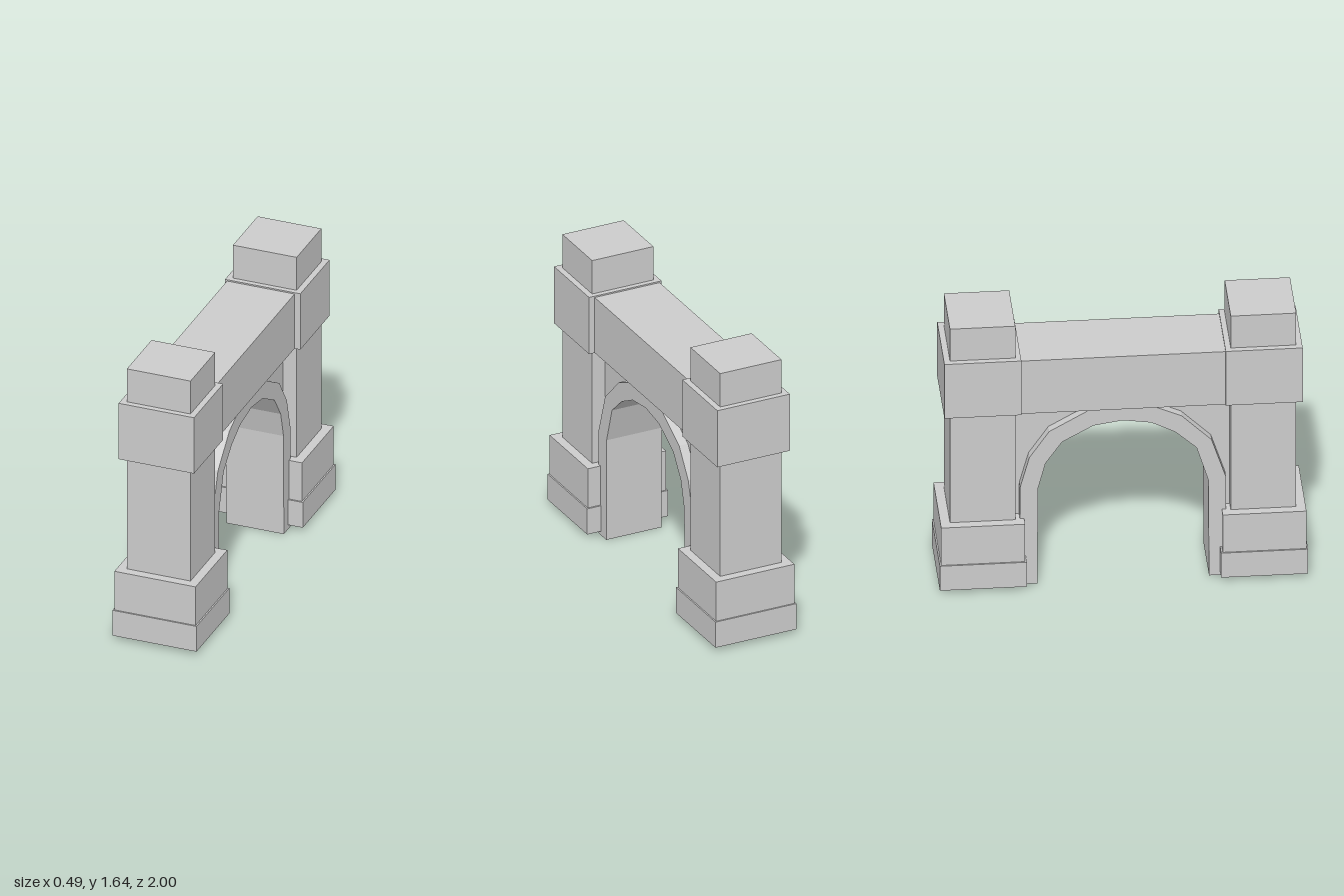
import * as THREE from 'three';

const stone = new THREE.MeshStandardMaterial({ color: 0xcccccc, flatShading: true });

// Box given by its limits on each axis
function block(name, [x0, x1], [y0, y1], [z0, z1]) {
  const mesh = new THREE.Mesh(new THREE.BoxGeometry(x1 - x0, y1 - y0, z1 - z0), stone);
  mesh.position.set((x0 + x1) / 2, (y0 + y1) / 2, (z0 + z1) / 2);
  mesh.name = name;
  return mesh;
}

// Slab with a [z, y] outline, running from x0 to x1
function slab(name, outline, x0, x1) {
  const shape = new THREE.Shape(outline.map(([z, y]) => new THREE.Vector2(-z, y)));
  const geometry = new THREE.ExtrudeGeometry(shape, { depth: x1 - x0, bevelEnabled: false });
  geometry.rotateY(Math.PI / 2).translate(x0, 0, 0);
  const mesh = new THREE.Mesh(geometry, stone);
  mesh.name = name;
  return mesh;
}

// One tower: stepped base, shaft and collar
function tower(name, side) {
  const group = new THREE.Group();
  group.name = name;
  const parts = [
    ['plinth', [-0.248, 0.243], [0.025, 0.18], [0.528, 1.0]],
    ['upperBase', [-0.24, 0.235], [0.18, 0.417], [0.537, 0.992]],
    ['shaft', [-0.188, 0.184], [0.417, 1.645], [0.585, 0.94]],
    ['collar', [-0.222, 0.218], [1.1, 1.443], [0.555, 0.973]],
  ];
  for (const [part, x, y, [near, far]] of parts) {
    group.add(block(part, x, y, side > 0 ? [near, far] : [-far, -near]));
  }
  return group;
}

export function createModel() {
  const model = new THREE.Group();
  model.name = 'gateway';
  model.add(tower('frontTower', 1), tower('backTower', -1));

  // Beam joining the two collars
  model.add(block('beam', [-0.21, 0.184], [1.1, 1.435], [-0.6, 0.6]));

  // Faceted arch ring, slightly uneven like hewn stone
  const outer = [
    [0.563, 0], [0.56, 0.62], [0.482, 0.86], [0.32, 1.02], [0.185, 1.08], [0.04, 1.105],
    [-0.04, 1.105], [-0.19, 1.08], [-0.4, 0.96], [-0.508, 0.8], [-0.558, 0.615], [-0.563, 0],
  ];
  const inner = [
    [0.468, 0], [0.464, 0.605], [0.4, 0.815], [0.285, 0.92], [0.155, 0.987], [0, 1.01],
    [-0.16, 0.985], [-0.33, 0.89], [-0.42, 0.76], [-0.46, 0.605], [-0.465, 0],
  ];
  model.add(slab('archRing', [...outer, ...inner.slice().reverse()], -0.178, 0.158));

  // Recessed wall filling the corners between ring, towers and beam
  const rim = outer.map(([z, y]) => [z, Math.max(y, 0.03)]).reverse();
  model.add(slab('spandrelWall',
    [[0.6, 0.03], [0.6, 1.12], [-0.6, 1.12], [-0.6, 0.03], ...rim], -0.125, 0.105));

  return model;
}
